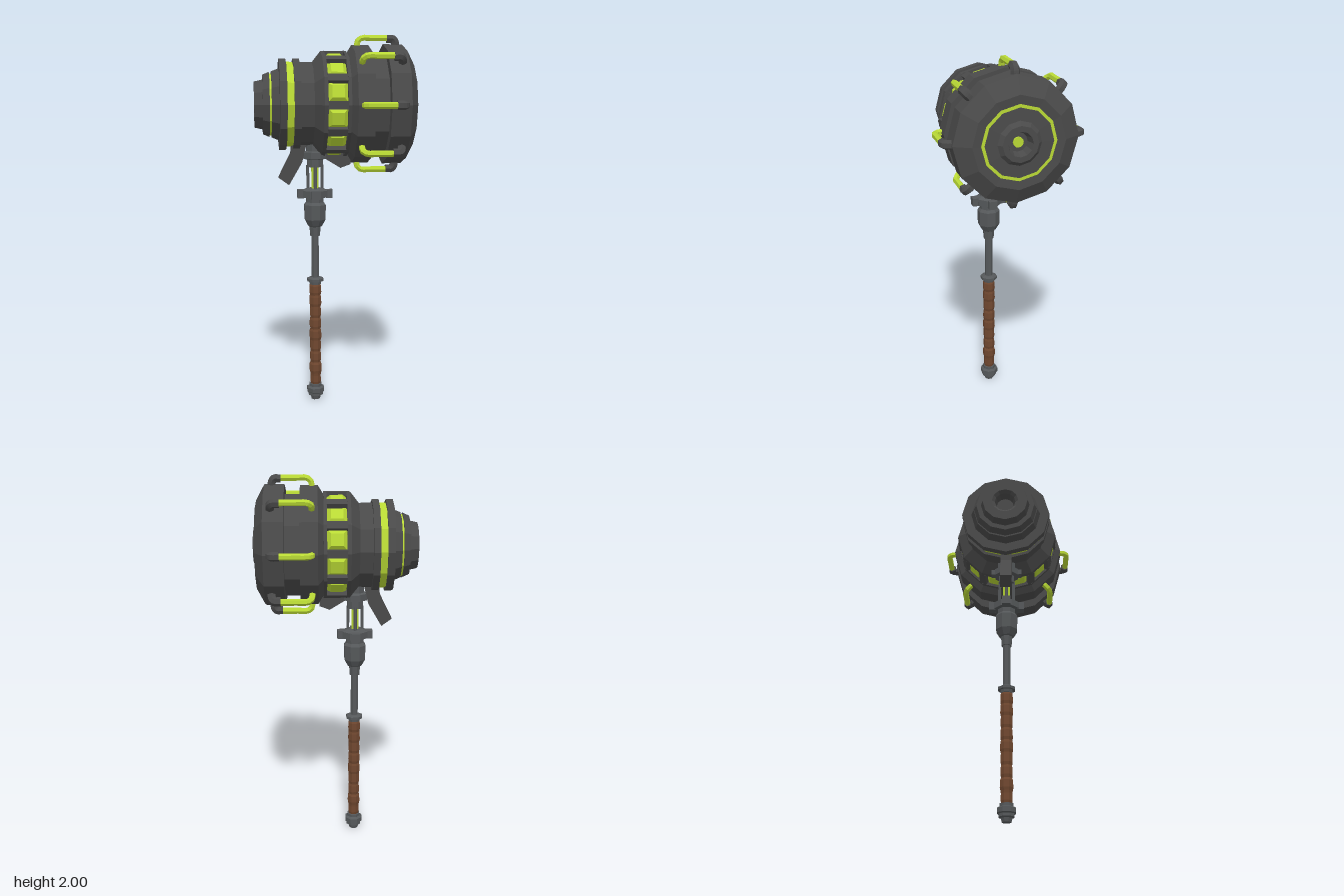
import * as THREE from 'three';

const HEAD_Y = 1.635, SHAFT_X = -0.105;

export function createModel() {
  const mat = (name, color) => {
    const m = new THREE.MeshStandardMaterial({ color });
    m.name = name;
    return m;
  };
  const iron = mat('dark iron', 0x4a4a4a);
  const steel = mat('shaft steel', 0x55585a);
  const glow = mat('lime', 0xb9d935);
  const leather = mat('brown leather', 0x6f472f);

  const model = new THREE.Group();
  const head = new THREE.Group();
  head.name = 'hammerHead';
  head.position.y = HEAD_Y;
  const shaft = new THREE.Group();
  shaft.name = 'handle';
  shaft.position.x = SHAFT_X;
  model.add(head, shaft);

  // Faceted mesh
  const add = (parent, name, geo, material) => {
    const g = geo.index ? geo.toNonIndexed() : geo;
    g.computeVertexNormals();
    const mesh = new THREE.Mesh(g, material);
    mesh.name = name;
    parent.add(mesh);
    return mesh;
  };
  // Turned parts: points are [radius, position along axis]
  const lathe = (pts, sides) =>
    new THREE.LatheGeometry(pts.map(([r, a]) => new THREE.Vector2(r, a)), sides);
  const turnX = (name, pts, material) =>
    add(head, name, lathe(pts, 12).rotateZ(-Math.PI / 2), material);
  const turnY = (name, pts, material, sides = 8) =>
    add(shaft, name, lathe(pts, sides).rotateY(Math.PI / sides), material);

  // ---- Hammer head: narrow end
  turnX('narrowCap', [[0, -0.37], [0.045, -0.37], [0.055, -0.41], [0.07, -0.424], [0.12, -0.424],
    [0.13, -0.38], [0, -0.38]], iron);
  turnX('narrowRingOuter', [[0.09, -0.38], [0.155, -0.38], [0.17, -0.345], [0, -0.345]], iron);
  turnX('narrowGlowRing', [[0.1, -0.346], [0.162, -0.346], [0.162, -0.33], [0, -0.33]], glow);
  turnX('narrowRingInner', [[0.1, -0.335], [0.172, -0.335], [0.188, -0.295], [0, -0.295]], iron);
  turnX('narrowFlange', [[0, -0.295], [0.238, -0.295], [0.238, -0.258], [0, -0.258]], iron);
  turnX('neckGlowBand', [[0.2, -0.26], [0.222, -0.26], [0.222, -0.22], [0.2, -0.22]], glow);
  turnX('neck', [[0, -0.222], [0.238, -0.222], [0.238, -0.187], [0.22, -0.187], [0.22, -0.12],
    [0.277, -0.075], [0.28, -0.056], [0.25, -0.056], [0.25, 0.045], [0.28, 0.045],
    [0.28, 0.062], [0.25, 0.062], [0, 0.062]], iron);

  // ---- Hammer head: wide end with recessed bore
  turnX('wideDrum', [[0, 0.06], [0.262, 0.06], [0.31, 0.09], [0.31, 0.18], [0.264, 0.18],
    [0.264, 0.258], [0.315, 0.258], [0.315, 0.36], [0.232, 0.405], [0.186, 0.4],
    [0.184, 0.385], [0.17, 0.385], [0.172, 0.4], [0.11, 0.403], [0.09, 0.422],
    [0.062, 0.422], [0.048, 0.375], [0, 0.375]], iron);
  turnX('faceGlowRing', [[0.17, 0.396], [0.188, 0.396], [0.188, 0.402], [0.172, 0.402]], glow);
  turnX('boreLight', [[0.026, 0.37], [0.026, 0.384], [0, 0.384]], glow);

  // ---- Window band: bevelled panes between ribs
  for (let i = 0; i < 12; i++) {
    const a = i * Math.PI / 6;
    add(head, 'windowRib', new THREE.BoxGeometry(0.104, 0.034, 0.04)
      .translate(-0.005, 0.26, 0).rotateX(a), iron);
    const pane = new THREE.BoxGeometry(0.1, 0.022, 0.1);
    const p = pane.attributes.position;
    for (let k = 0; k < p.count; k++) {
      if (p.getY(k) > 0) p.setXYZ(k, p.getX(k) * 0.62, p.getY(k), p.getZ(k) * 0.62);
    }
    add(head, 'windowPane', pane.translate(-0.005, 0.254, 0).rotateX(a + Math.PI / 12), glow);
  }

  // ---- Eight bent pipes around the drum
  const pipe = (pts, r) => new THREE.TubeGeometry(
    new THREE.CatmullRomCurve3(pts.map(([x, y]) => new THREE.Vector3(x, y, 0)), false, 'centripetal'),
    12, r, 6);
  for (let i = 0; i < 8; i++) {
    const a = i * Math.PI / 4;
    add(head, 'pipe', pipe([[0.122, 0.27], [0.122, 0.325], [0.142, 0.345], [0.2, 0.346], [0.3, 0.346]], 0.017)
      .rotateX(a), glow);
    add(head, 'pipeElbow', pipe([[0.29, 0.342], [0.31, 0.342], [0.322, 0.325], [0.322, 0.28]], 0.023)
      .rotateX(a), iron);
    add(head, 'pipeCollar', new THREE.CylinderGeometry(0.023, 0.023, 0.02, 6)
      .rotateZ(Math.PI / 2).translate(0.288, 0.342, 0).rotateX(a), iron);
  }

  // ---- Fins below the head
  const fin = (name, pts, depth) => {
    const shape = new THREE.Shape(pts.map(([x, y]) => new THREE.Vector2(x, y)));
    const geo = new THREE.ExtrudeGeometry(shape, { depth, bevelEnabled: false });
    add(model, name, geo.translate(0, 0, -depth / 2), iron);
  };
  fin('longFin', [[-0.23, 1.43], [-0.235, 1.38], [-0.3, 1.25], [-0.245, 1.21], [-0.175, 1.33], [-0.15, 1.43]], 0.06);
  fin('shortFin', [[-0.07, 1.43], [-0.06, 1.355], [0.03, 1.3], [0.085, 1.32], [0.085, 1.43]], 0.06);

  // ---- Handle, from pommel to head
  turnY('pommel', [[0, 0], [0.025, 0], [0.03, 0.02], [0.042, 0.025], [0.042, 0.04], [0.05, 0.045],
    [0.05, 0.068], [0.036, 0.075], [0.036, 0.09], [0, 0.09]], steel);

  // Leather grip: uneven wraps from a small seeded function
  let seed = 7;
  const rand = () => (seed = (seed * 16807) % 2147483647) / 2147483647;
  const grip = [[0, 0.088]];
  const wraps = 9, step = 0.575 / wraps;
  for (let i = 0; i < wraps; i++) {
    const y = 0.088 + i * step, r = 0.031 + rand() * 0.005;
    grip.push([r - 0.004, y], [r, y + step * 0.25], [r - 0.001, y + step * 0.8]);
  }
  grip.push([0.028, 0.665], [0, 0.665]);
  turnY('grip', grip, leather);

  turnY('gripRing', [[0, 0.66], [0.032, 0.66], [0.034, 0.678], [0.047, 0.678], [0.047, 0.692],
    [0.03, 0.7], [0, 0.7]], steel);
  turnY('rod', [[0.021, 0.69], [0.021, 0.95]], steel);
  turnY('socket', [[0, 0.93], [0.028, 0.93], [0.032, 0.98], [0.04, 0.985], [0.06, 1.02], [0.062, 1.1],
    [0.05, 1.115], [0.05, 1.14], [0.072, 1.142], [0.072, 1.178], [0.045, 1.19], [0, 1.19]], steel);
  turnY('lightCore', [[0.02, 1.18], [0.02, 1.33]], glow);
  turnY('upperCollar', [[0, 1.305], [0.045, 1.305], [0.045, 1.345], [0.068, 1.35], [0.068, 1.385],
    [0.05, 1.39], [0.05, 1.45], [0, 1.45]], steel);

  // Lugs on both collars and struts around the light core
  for (let i = 0; i < 4; i++) {
    const a = i * Math.PI / 2;
    add(shaft, 'collarLug', new THREE.BoxGeometry(0.035, 0.044, 0.046)
      .translate(0.077, 1.16, 0).rotateY(a), steel);
    add(shaft, 'upperLug', new THREE.BoxGeometry(0.026, 0.03, 0.04)
      .translate(0.07, 1.37, 0).rotateY(a), steel);
    add(shaft, 'strut', new THREE.CylinderGeometry(0.009, 0.009, 0.14, 6)
      .translate(0.038, 1.245, 0).rotateY(a), steel);
  }
  return model;
}
